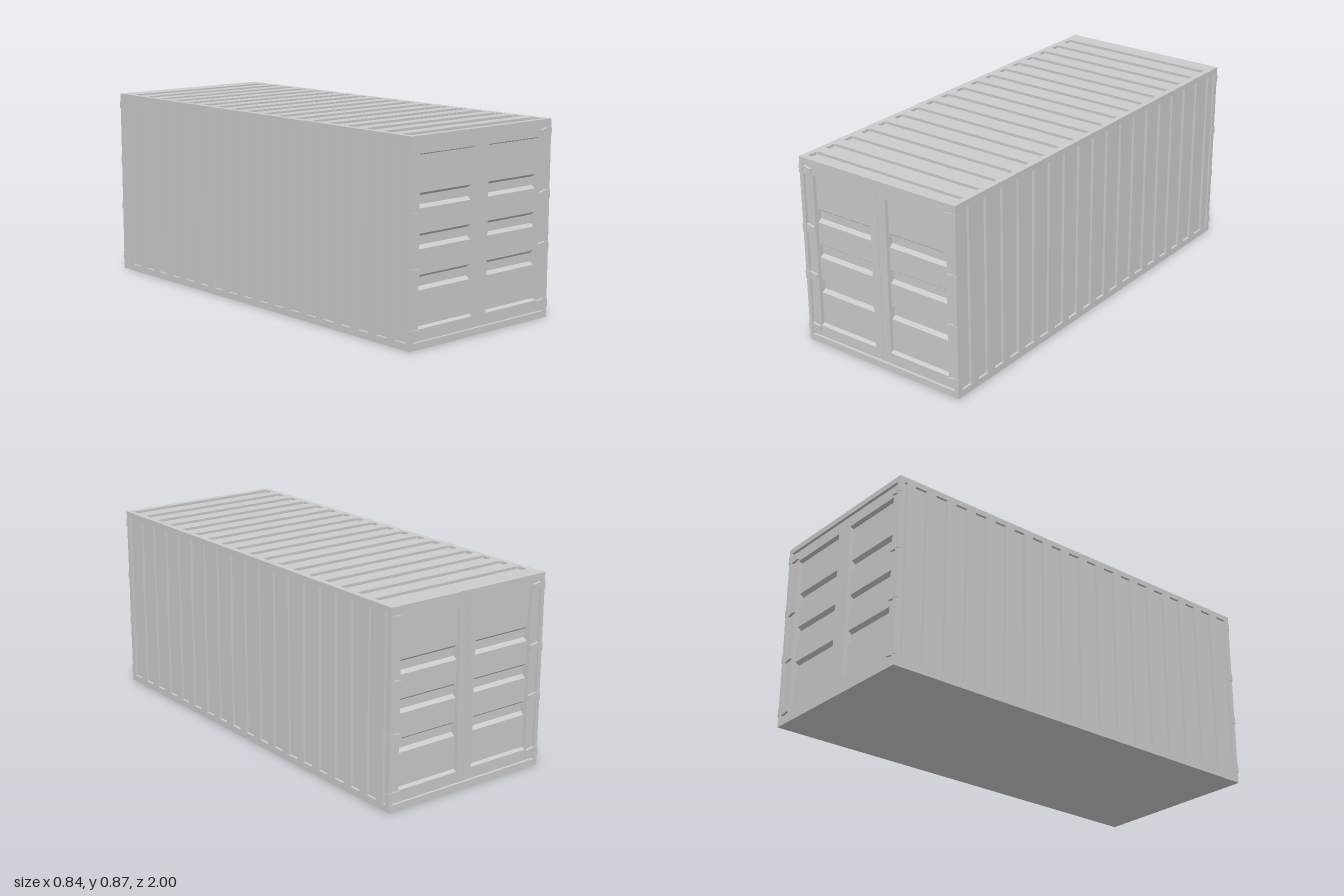
import * as THREE from 'three';

const W = 0.416, H = 0.865, L = 0.998; // half width, height, half length
const D = 0.012;                       // depth of the corrugation
const PITCH = 0.1077;
const DOOR = 0.985;                    // z of the door faces
const material = new THREE.MeshStandardMaterial({ color: 0xcccccc, flatShading: true });

function add(parent, name, geometry) {
  const mesh = new THREE.Mesh(geometry, material);
  mesh.name = name;
  parent.add(mesh);
  return mesh;
}

function box(x0, x1, y0, y1, z0, z1) {
  return new THREE.BoxGeometry(x1 - x0, y1 - y0, z1 - z0)
    .translate((x0 + x1) / 2, (y0 + y1) / 2, (z0 + z1) / 2);
}

const polygon = (points) => new THREE.Shape(points.map(([x, y]) => new THREE.Vector2(x, y)));
const rect = (x0, x1, y0, y1) => polygon([[x0, y0], [x1, y0], [x1, y1], [x0, y1]]);

// Flat plate with openings, from z0 to z1
function plate(outline, holes, z0, z1) {
  outline.holes = holes;
  return new THREE.ExtrudeGeometry(outline, { depth: z1 - z0, bevelEnabled: false }).translate(0, 0, z0);
}

// Eighteen grooves along the length; "length" is the local plate axis equal to z
function grooveCentres() {
  return Array.from({ length: 18 }, (_, i) => 0.943 - i * PITCH);
}

// Side skin with upright grooves; local x of the plate is -z
function sideSkin() {
  const holes = grooveCentres().map((z) => rect(-z - 0.03, -z + 0.03, 0.03, 0.84));
  holes.push(rect(0.959, 0.974, 0.03, 0.84));
  return plate(rect(-L, L, 0, H), holes, W - D, W).rotateY(Math.PI / 2);
}

// Roof skin with cross grooves that have clipped corners; local y is -z
function roofSkin() {
  const a = 0.39, b = 0.027, c = 0.006;
  const holes = grooveCentres().map((z) => polygon([
    [-a + c, -z - b], [a - c, -z - b], [a, -z - b + c], [a, -z + b - c],
    [a - c, -z + b], [-a + c, -z + b], [-a, -z + b - c], [-a, -z - b + c],
  ]));
  return plate(rect(-W + D, W - D, -L, L), holes, H - D, H).rotateX(-Math.PI / 2);
}

// Door infill: sheet with three sunken bands and sloped top and bottom edges
function infill(x0, x1) {
  const face = 0.967, deep = 0.949;
  const points = [[0.93, 0.08], [DOOR, 0.08], [face, 0.087]];
  for (const y of [0.234, 0.402, 0.567]) {
    points.push([face, y], [deep, y + 0.013], [deep, y + 0.05], [face, y + 0.063]);
  }
  points.push([face, 0.783], [DOOR, 0.79], [0.93, 0.79]);
  return plate(polygon(points), [], 0, x1 - x0).rotateY(-Math.PI / 2).translate(x1, 0, 0);
}

function doorEnd() {
  const end = new THREE.Group();
  end.name = 'doorEnd';
  add(end, 'endFrame', plate(rect(-W + D, W - D, 0, H - D), [rect(-0.398, 0.398, 0.03, 0.84)], 0.93, L));
  for (const s of [-1, 1]) {
    // Door leaf, with a fine seam in the middle
    const [a, b] = s > 0 ? [0.001, 0.398] : [-0.398, -0.001];
    const [c, d] = s > 0 ? [0.042, 0.356] : [-0.356, -0.042];
    add(end, 'doorLeaf', plate(rect(a, b, 0.03, 0.84), [rect(c, d, 0.08, 0.79)], 0.94, DOOR));
    add(end, 'doorPanel', infill(c, d));
    // Tapered hinge straps and the knuckles wrapping the corner post
    for (const y of [0.067, 0.317, 0.542, 0.809]) {
      const strap = [[0.357, y - 0.011], [0.398, y - 0.018], [0.398, y + 0.018], [0.357, y + 0.011]];
      add(end, 'hingeStrap', plate(polygon(strap.map(([x, v]) => [s * x, v])), [], 0.975, 0.996));
      const [e, f] = s > 0 ? [0.399, 0.418] : [-0.418, -0.399];
      add(end, 'hingeKnuckle', box(e, f, y - 0.018, y + 0.018, 0.984, 1));
    }
  }
  return end;
}

export function createModel() {
  const model = new THREE.Group();
  model.name = 'cargoContainer';

  add(model, 'innerBody', box(-W + D, W - D, 0, H - D, -0.94, 0.94));
  add(model, 'roof', roofSkin());

  // Right-hand skin is turned round, with its grooves kept in line with the other side
  add(model, 'leftSide', sideSkin());
  const right = sideSkin();
  right.scale(-1, 1, 1);
  const index = right.index ? right : null;
  if (index) throw new Error('expected unindexed geometry');
  const p = right.attributes.position;
  for (let i = 0; i < p.count; i += 3) { // restore winding after mirroring
    const u = new THREE.Vector3().fromBufferAttribute(p, i + 1);
    const v = new THREE.Vector3().fromBufferAttribute(p, i + 2);
    p.setXYZ(i + 1, v.x, v.y, v.z);
    p.setXYZ(i + 2, u.x, u.y, u.z);
  }
  right.computeVertexNormals();
  add(model, 'rightSide', right);

  // Matching doors at both ends
  const front = doorEnd();
  front.name = 'frontDoors';
  const back = doorEnd();
  back.name = 'backDoors';
  back.rotation.y = Math.PI;
  model.add(front, back);
  return model;
}
